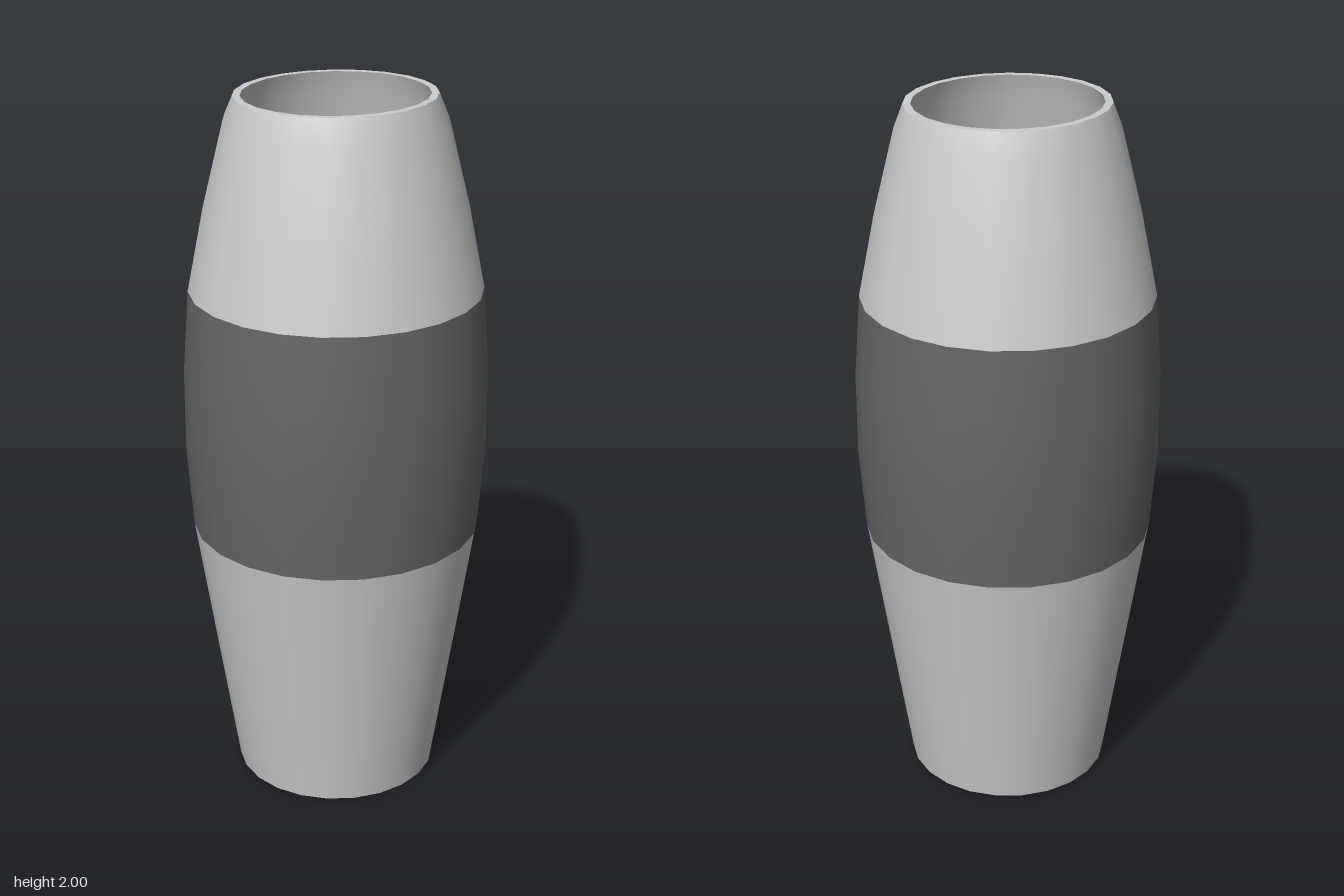
import * as THREE from 'three';

const SIDES = 23;
const GREY = 0xcccccc;
const DARK = 0x666666;

// Surface of revolution from [radius, y] points; the mouth at y = 2 is slightly oval.
function turned(name, color, profile) {
  const points = profile.map(([r, y]) => new THREE.Vector2(r, y));
  const geometry = new THREE.LatheGeometry(points, SIDES, Math.PI / 2);
  const pos = geometry.attributes.position;
  for (let i = 0; i < pos.count; i++) {
    if (pos.getY(i) > 1.99) pos.setZ(i, pos.getZ(i) * 0.945);
  }
  const mesh = new THREE.Mesh(geometry, new THREE.MeshStandardMaterial({ color }));
  mesh.name = name;
  mesh.position.x = -0.002; // odd number of sides: recentre
  return mesh;
}

export function createModel() {
  const group = new THREE.Group();
  group.name = 'barrelVessel';
  group.add(
    // outer wall in three zones
    turned('lowerBody', GREY, [[0.287, 0], [0.347, 0.39], [0.405, 0.77]]),
    turned('middleBand', DARK, [[0.405, 0.77], [0.422, 1.0], [0.422, 1.23], [0.405, 1.465]]),
    turned('upperBody', GREY, [[0.405, 1.465], [0.358, 1.7], [0.3, 1.935], [0.277, 2]]),
    // flat lip, hollow interior and closed ends
    turned('rim', GREY, [[0.277, 2], [0.256, 2]]),
    turned('innerWall', GREY, [
      [0.256, 2], [0.28, 1.93], [0.338, 1.7], [0.385, 1.465], [0.402, 1.23],
      [0.402, 1.0], [0.385, 0.77], [0.267, 0.02],
    ]),
    turned('innerFloor', GREY, [[0.267, 0.02], [0, 0.02]]),
    turned('base', GREY, [[0, 0], [0.287, 0]]),
  );
  return group;
}
